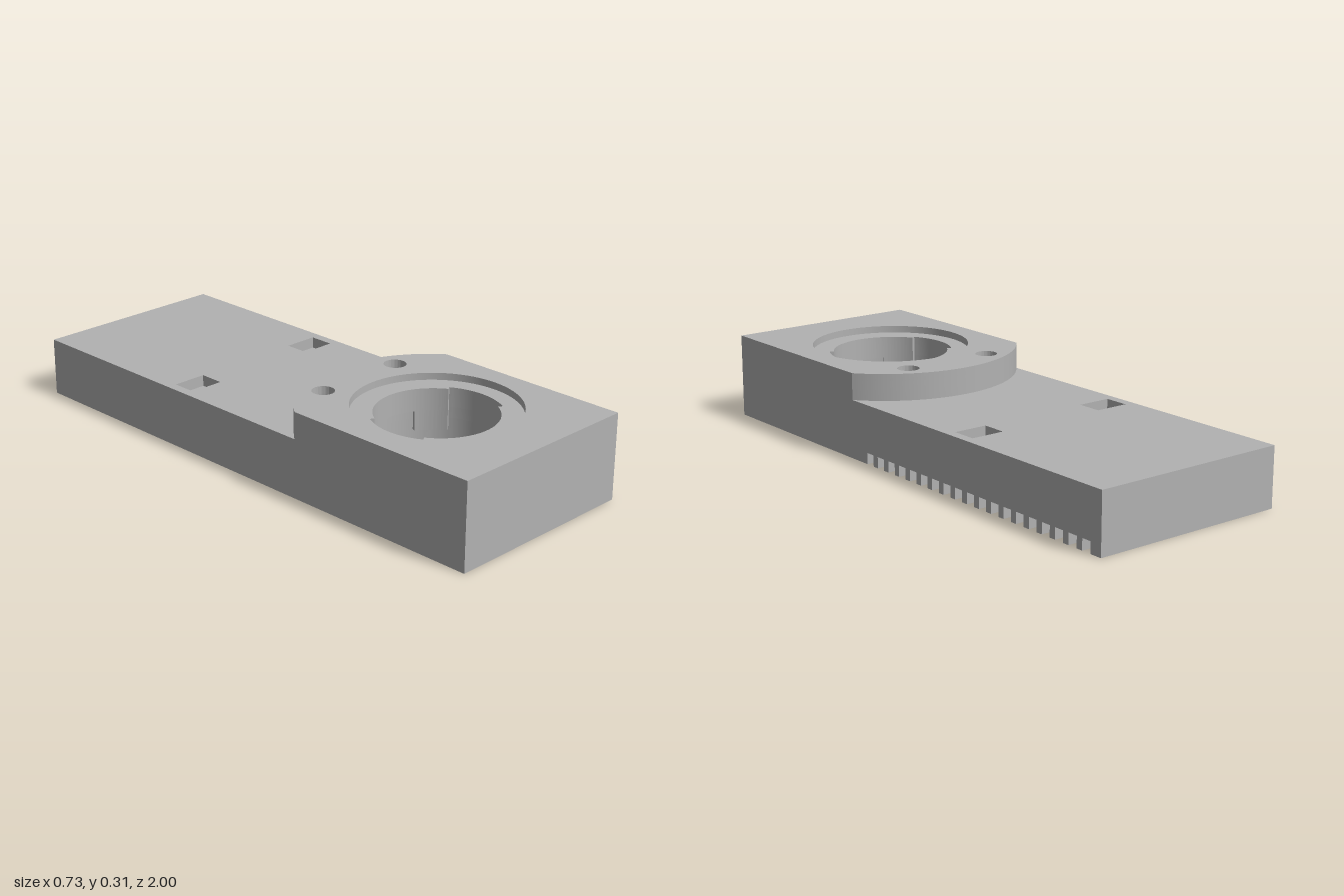
import * as THREE from 'three';
import { toCreasedNormals } from 'three/addons/utils/BufferGeometryUtils.js';

const HALF_W = 0.364, WALL = 0.06, BORE_Z = 0.555, BORE_R = 0.223;
const CEILING = 0.085, DECK = 0.21, SEAT = 0.28, TOP = 0.305;

export function createModel() {
  const group = new THREE.Group();
  const grey = new THREE.MeshStandardMaterial({ color: 0xb2b2b2 });
  grey.name = 'plain grey';

  // Plan shapes are drawn in (x, -z) and raised from y0 to y1
  const layer = (name, shape, y0, y1) => {
    const flat = new THREE.ExtrudeGeometry(shape, { depth: y1 - y0, bevelEnabled: false, curveSegments: 64 });
    flat.rotateX(-Math.PI / 2).translate(0, y0, 0);
    const mesh = new THREE.Mesh(toCreasedNormals(flat, 0.5), grey);
    mesh.name = name;
    group.add(mesh);
  };
  const polygon = (pts) => new THREE.Shape(pts.map(([x, z]) => new THREE.Vector2(x, -z)));
  const rect = (x0, x1, z0, z1) => polygon([[x0, z1], [x1, z1], [x1, z0], [x0, z0]]);
  const circle = (x, z, r) => new THREE.Shape().absarc(x, -z, r, 0, Math.PI * 2, false);
  const cut = (shape, ...holes) => { shape.holes.push(...holes); return shape; };
  const sector = (r0, r1, a0, a1) => new THREE.Shape()
    .absarc(0, -BORE_Z, r1, a0, a1, false)
    .absarc(0, -BORE_Z, r0, a1, a0, true);
  const bore = () => circle(0, BORE_Z, BORE_R);

  // Skirt walls: lower band is open along the toothed side, upper band is closed
  const inX = HALF_W - WALL, inZ = 1 - WALL;
  const slotTop = 0.04, pitch = 0.0615, slotWidth = 0.037, slots = 19, firstZ = 0.19;
  const lastZ = firstZ - (slots - 1) * pitch - slotWidth;
  layer('lowerSkirt', polygon([
    [HALF_W, firstZ], [HALF_W, 1], [-HALF_W, 1], [-HALF_W, -1], [HALF_W, -1], [HALF_W, lastZ],
    [inX, lastZ], [inX, -inZ], [-inX, -inZ], [-inX, inZ], [inX, inZ], [inX, firstZ],
  ].reverse()), 0, slotTop);
  layer('upperSkirt', cut(rect(-HALF_W, HALF_W, -1, 1), rect(-inX, inX, -inZ, inZ)), slotTop, CEILING);
  for (let i = 0; i < slots - 1; i++) {
    const z1 = firstZ - i * pitch - slotWidth;
    layer('rackTooth', rect(inX, HALF_W, z1 - (pitch - slotWidth), z1), 0, slotTop);
  }

  // Deck plate, with two shallow rectangular pockets
  const pocketFloor = 0.17;
  layer('deckBase', cut(rect(-HALF_W, HALF_W, -1, 1), bore()), CEILING, pocketFloor);
  layer('deckTop', cut(rect(-HALF_W, HALF_W, -1, 1), bore(),
    rect(0.206, 0.33, -0.35, -0.26), rect(-0.33, -0.206, -0.35, -0.26)), pocketFloor, DECK);

  // Raised front block with a rounded back edge, pin holes and a round recess
  const blockR = 0.46, edge = Math.acos(HALF_W / blockR);
  const block = (...holes) => {
    const s = new THREE.Shape();
    s.moveTo(-HALF_W, -1);
    s.lineTo(HALF_W, -1);
    s.absarc(0, -BORE_Z, blockR, edge, Math.PI - edge, false);
    s.closePath();
    return cut(s, circle(0.172, 0.21, 0.039), circle(-0.172, 0.21, 0.039), ...holes);
  };
  layer('raisedBlock', block(bore()), DECK, SEAT);
  layer('recessRim', block(circle(0, BORE_Z, 0.283)), SEAT, TOP);

  // Socket tube under the deck
  layer('socketTube', cut(circle(0, BORE_Z, 0.29), bore()), 0, CEILING);

  // Bayonet lip: two arcs with key slots between, each with a stop tab below
  const deg = Math.PI / 180, lipBottom = 0.2;
  for (const turn of [0, 180]) {
    layer('bayonetLip', sector(0.207, 0.226, (turn + 31) * deg, (turn + 149) * deg), lipBottom, SEAT);
    layer('bayonetStop', sector(0.207, 0.226, (turn + 31) * deg, (turn + 62) * deg), 0.13, lipBottom);
  }
  return group;
}
